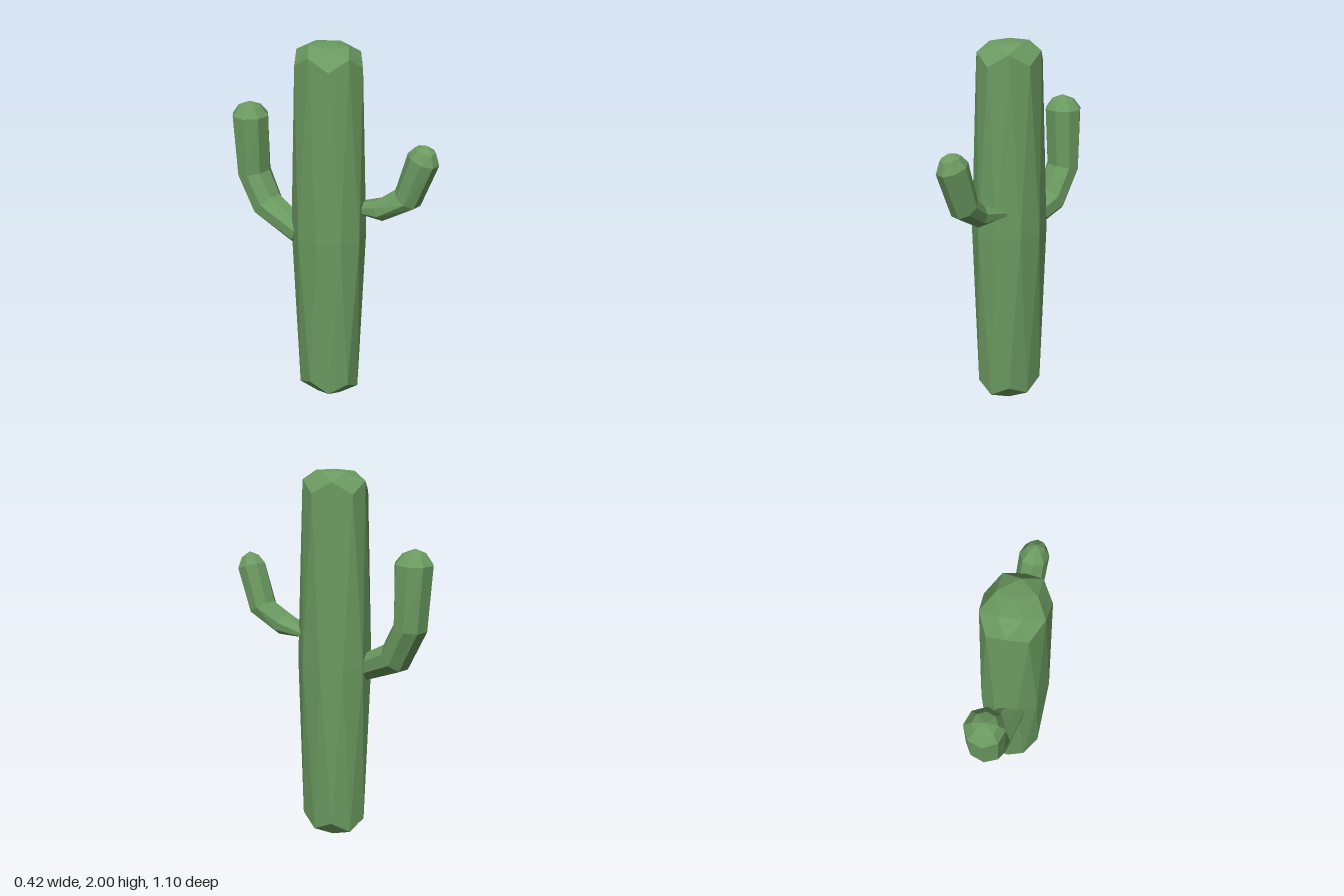
import * as THREE from 'three';

const green = new THREE.MeshStandardMaterial({ color: 0x6b9a60, flatShading: true });

// Low-poly sphere stretched into a column: caps at both ends, widest at mid height
function trunkGeometry() {
  const g = new THREE.IcosahedronGeometry(1, 1);
  g.rotateZ(-Math.atan(2 / (1 + Math.sqrt(5)))); // one vertex straight up
  // [height on the unit sphere, height of the trunk]
  const heights = [[-1, 0], [-0.85, 0.04], [-0.526, 0.075], [-0.447, 0.13], [0, 1],
    [0.447, 1.89], [0.526, 1.95], [0.85, 1.99], [1, 2]];
  const p = g.attributes.position;
  for (let i = 0; i < p.count; i++) {
    const u = p.getY(i);
    const near = heights.reduce((a, b) => (Math.abs(b[0] - u) < Math.abs(a[0] - u) ? b : a));
    p.setXYZ(i, p.getX(i) * 0.18 - 0.018, near[1], p.getZ(i) * 0.208 - 0.005);
  }
  g.computeVertexNormals();
  return g;
}

// Faceted tube through sections [x, y, z, half width along x, half thickness]
function armGeometry(sections, sides = 8) {
  const X = new THREE.Vector3(1, 0, 0);
  const pos = [];
  const index = [];
  sections.forEach(([x, y, z, rx, rn], i) => {
    const a = sections[Math.max(i - 1, 0)];
    const b = sections[Math.min(i + 1, sections.length - 1)];
    const T = new THREE.Vector3(0, b[1] - a[1], b[2] - a[2]).normalize();
    const N = T.cross(X);
    for (let j = 0; j < sides; j++) {
      const t = ((j + 0.5) / sides) * Math.PI * 2;
      const s = Math.sin(t) * rn;
      pos.push(x + Math.cos(t) * rx, y + N.y * s, z + N.z * s);
    }
    if (i === 0) return;
    for (let j = 0; j < sides; j++) {
      const k = (j + 1) % sides;
      const p0 = (i - 1) * sides, p1 = i * sides;
      if (sections[i - 1][3] > 0) index.push(p0 + j, p0 + k, p1 + k);
      if (rx > 0) index.push(p0 + j, p1 + k, p1 + j);
      else if (sections[i - 1][3] === 0) index.pop();
    }
  });
  const g = new THREE.BufferGeometry();
  g.setAttribute('position', new THREE.Float32BufferAttribute(pos, 3));
  g.setIndex(index);
  const flat = g.toNonIndexed();
  flat.computeVertexNormals();
  return flat;
}

export function createModel() {
  const model = new THREE.Group();
  model.name = 'cactus';
  const add = (name, geometry) => {
    const mesh = new THREE.Mesh(geometry, green);
    mesh.name = name;
    model.add(mesh);
  };

  add('trunk', trunkGeometry());

  // Large arm, rising behind the trunk
  add('backArm', armGeometry([
    [-0.09, 0.96, -0.12, 0, 0],
    [-0.09, 0.97, -0.14, 0.065, 0.07],
    [-0.1, 1.075, -0.365, 0.09, 0.088],
    [-0.105, 1.245, -0.455, 0.098, 0.085],
    [-0.115, 1.565, -0.46, 0.1, 0.1],
    [-0.118, 1.615, -0.46, 0.062, 0.062],
    [-0.12, 1.64, -0.46, 0, 0],
  ]));

  // Smaller arm, bending up in front of the trunk
  add('frontArm', armGeometry([
    [0.06, 1.14, 0.1, 0, 0],
    [0.062, 1.142, 0.12, 0.06, 0.025],
    [0.08, 1.165, 0.275, 0.072, 0.06],
    [0.128, 1.245, 0.395, 0.076, 0.075],
    [0.14, 1.465, 0.472, 0.074, 0.085],
    [0.14, 1.515, 0.482, 0.045, 0.055],
    [0.138, 1.54, 0.487, 0, 0],
  ]));

  return model;
}
